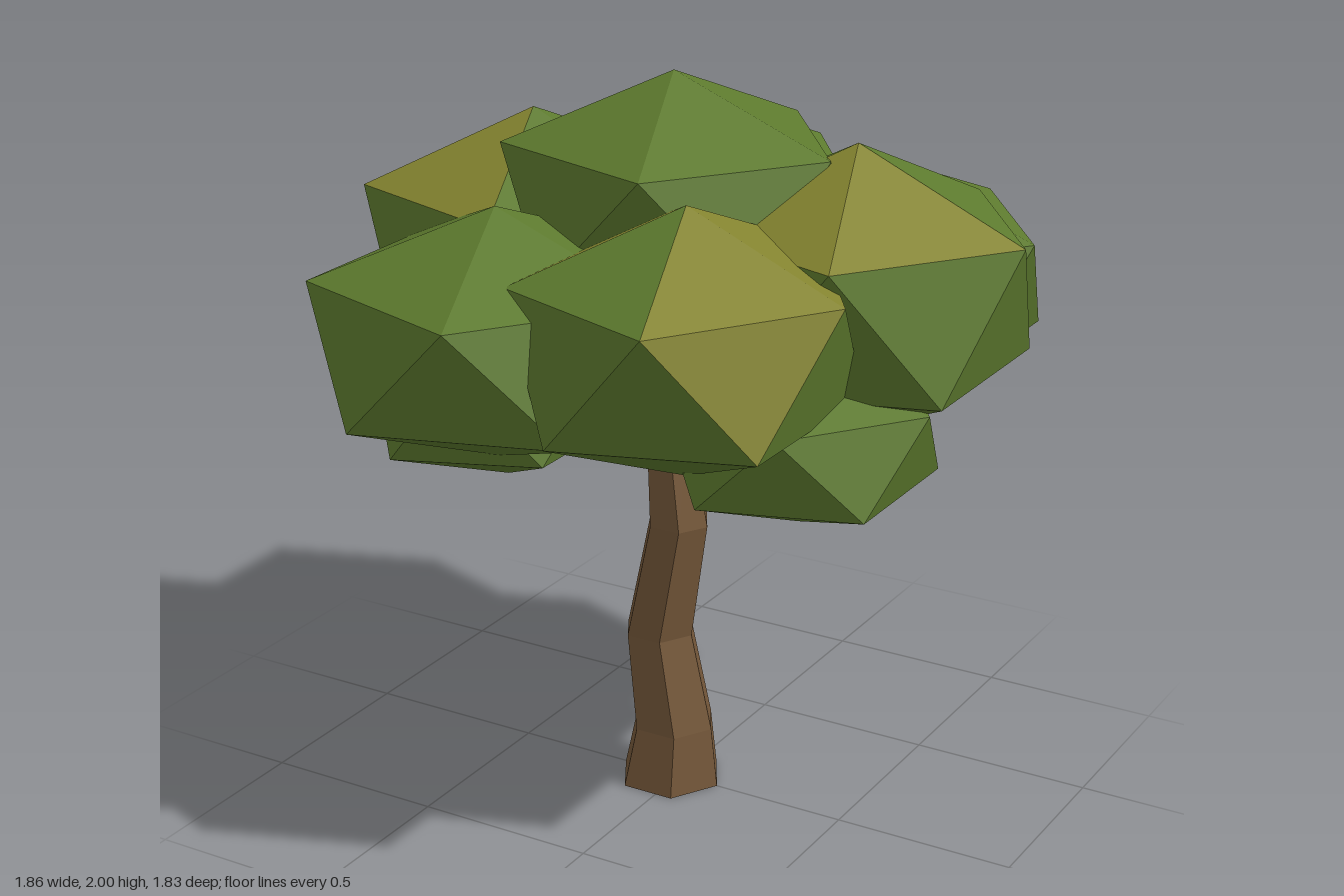
import * as THREE from 'three';

const material = (color) => new THREE.MeshStandardMaterial({ color, flatShading: true });
const bark = material(0x75583a);
const green = material(0x5d7a2e);
const olive = material(0x84842f);

// Foliage clumps: centre, radii of the five-sided rings (x, z), half height,
// and the triangles that are tinted olive (0-4 cap, 5-9 upper side)
const CLUMPS = [
  { name: 'topFoliage', c: [-0.02, 1.67, -0.01], r: [0.45, 0.43], h: 0.33 },
  { name: 'leftFoliage', c: [0.47, 1.48, -0.08], r: [0.46, 0.45], h: 0.38, tint: [0, 1] },
  { name: 'rightFoliage', c: [-0.48, 1.465, -0.06], r: [0.45, 0.46], h: 0.37, tint: [1, 2] },
  { name: 'frontLeftFoliage', c: [0.26, 1.445, 0.41], r: [0.43, 0.46], h: 0.347, tint: [0, 2, 4, 5] },
  { name: 'frontRightFoliage', c: [-0.25, 1.4, 0.47], r: [0.47, 0.47], h: 0.33 },
  { name: 'backRightFoliage', c: [-0.21, 1.46, -0.48], r: [0.46, 0.46], h: 0.35 },
  { name: 'backLeftFoliage', c: [0.33, 1.39, -0.47], r: [0.46, 0.45], h: 0.325 },
  { name: 'lowerRightFoliage', c: [-0.41, 1.175, 0.2], r: [0.33, 0.41], h: 0.28 },
  { name: 'lowerLeftFoliage', c: [0.45, 1.168, 0.17], r: [0.355, 0.355], h: 0.24 },
];

// Trunk cross-sections: height, x offset, radius
const TRUNK = [
  [0, -0.025, 0.147], [0.17, -0.015, 0.118], [0.44, -0.06, 0.1],
  [0.77, 0, 0.088], [1.08, -0.035, 0.064], [1.3, -0.03, 0.05],
];

// Branch tips
const TIPS = [
  [0.25, 1.27, -0.05], [-0.3, 1.27, -0.03], [0.14, 1.25, 0.24],
  [-0.15, 1.23, 0.27], [-0.13, 1.25, -0.28], [0.18, 1.21, -0.27],
];

function facesMesh(triangles, mat, name) {
  const geometry = new THREE.BufferGeometry().setFromPoints(triangles.flat());
  geometry.computeVertexNormals();
  const mesh = new THREE.Mesh(geometry, mat);
  mesh.name = name;
  return mesh;
}

// Squashed twenty-sided clump: two staggered five-point rings between two tips
function makeClump({ name, c, r, h, tint = [] }) {
  const ring = (k, shift, y) => {
    const a = (k + shift) * Math.PI * 0.4;
    return new THREE.Vector3(r[0] * Math.cos(a), y, r[1] * Math.sin(a));
  };
  const top = new THREE.Vector3(0, h, 0);
  const bottom = new THREE.Vector3(0, -h, 0);
  const cap = [], sideDown = [], sideUp = [], base = [];
  for (let k = 0; k < 5; k++) {
    const u0 = ring(k, 0, 0.46 * h), u1 = ring(k + 1, 0, 0.46 * h);
    const l0 = ring(k, 0.5, -0.46 * h), l1 = ring(k + 1, 0.5, -0.46 * h);
    cap.push([top, u1, u0]);
    sideDown.push([u0, u1, l0]);
    sideUp.push([l0, u1, l1]);
    base.push([l0, l1, bottom]);
  }
  const all = [...cap, ...sideDown, ...sideUp, ...base];
  const group = new THREE.Group();
  group.name = name;
  group.position.set(...c);
  group.add(facesMesh(all.filter((_, i) => !tint.includes(i)), green, name + 'Leaves'));
  if (tint.length) {
    group.add(facesMesh(all.filter((_, i) => tint.includes(i)), olive, name + 'Highlights'));
  }
  return group;
}

// Crooked six-sided trunk: a cylinder whose rows follow the cross-sections
function makeTrunk() {
  const rows = TRUNK.length - 1;
  const geometry = new THREE.CylinderGeometry(1, 1, rows, 6, rows, false, Math.PI / 2);
  const p = geometry.attributes.position;
  for (let i = 0; i < p.count; i++) {
    const [y, x, radius] = TRUNK[Math.round(p.getY(i) + rows / 2)];
    p.setXYZ(i, x + p.getX(i) * radius, y, p.getZ(i) * radius);
  }
  geometry.computeVertexNormals();
  const mesh = new THREE.Mesh(geometry, bark);
  mesh.name = 'trunk';
  return mesh;
}

// Tapered branch from the top of the trunk
function makeBranch(tip) {
  const start = new THREE.Vector3(-0.03, 1.1, 0);
  const end = new THREE.Vector3(...tip);
  const dir = end.clone().sub(start);
  const mesh = new THREE.Mesh(new THREE.CylinderGeometry(0.025, 0.04, dir.length(), 5), bark);
  mesh.position.copy(start).add(end).multiplyScalar(0.5);
  mesh.quaternion.setFromUnitVectors(new THREE.Vector3(0, 1, 0), dir.normalize());
  mesh.name = 'branch';
  return mesh;
}

export function createModel() {
  const tree = new THREE.Group();
  tree.name = 'tree';
  tree.add(makeTrunk());
  TIPS.forEach((tip) => tree.add(makeBranch(tip)));
  CLUMPS.forEach((clump) => tree.add(makeClump(clump)));
  return tree;
}
